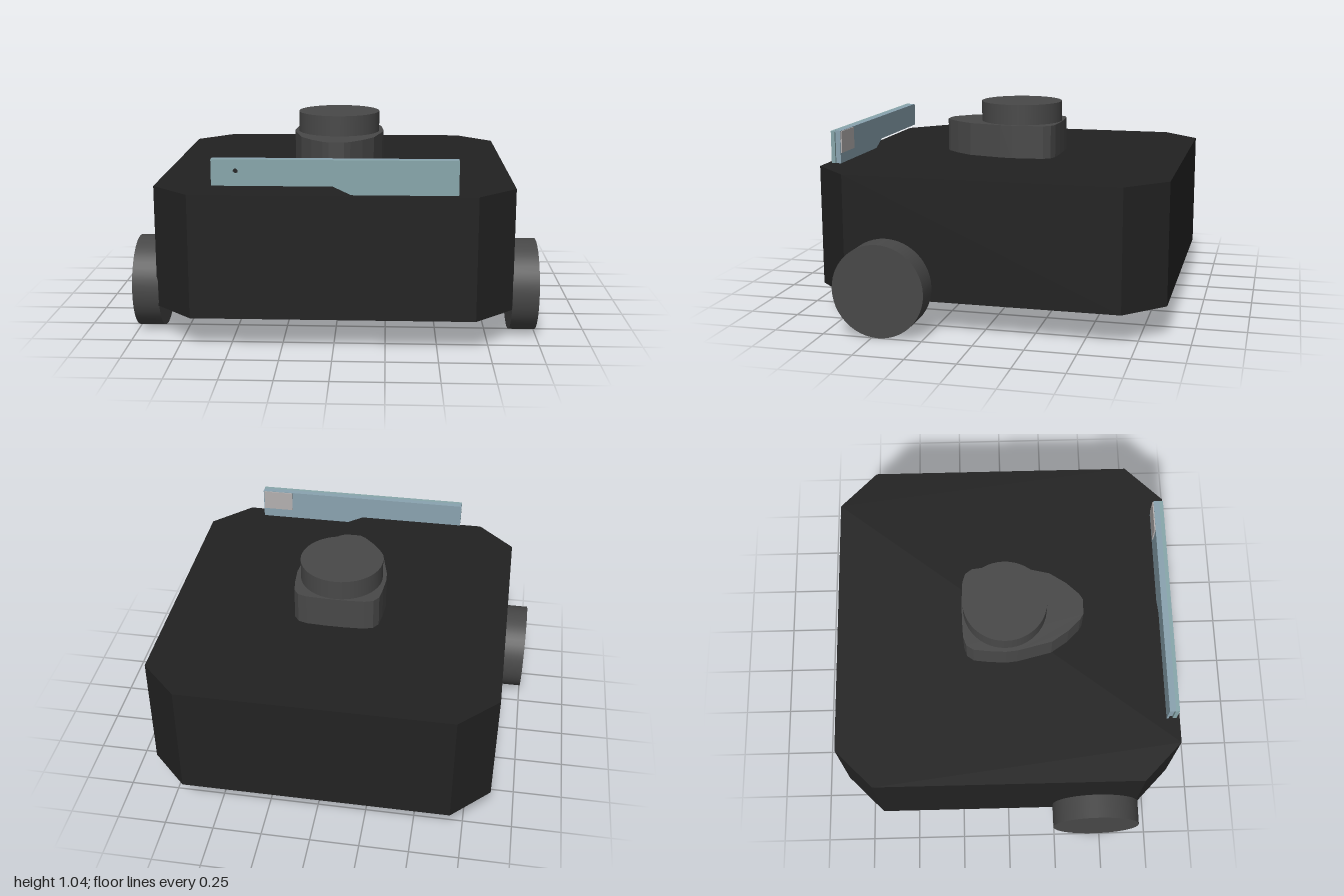
import * as THREE from 'three';

const mat = (color) => new THREE.MeshStandardMaterial({ color });
const black = mat(0x222222);
const darkGrey = mat(0x484848);
const steel = mat(0x8aa3b0);
const glass = mat(0x88a7ab);
const lightGrey = mat(0xb4b0b0);

function add(parent, name, geometry, material, x = 0, y = 0, z = 0) {
  const mesh = new THREE.Mesh(geometry, material);
  mesh.name = name;
  mesh.position.set(x, y, z);
  parent.add(mesh);
  return mesh;
}

const shapeOf = (points) => new THREE.Shape(points.map(([x, y]) => new THREE.Vector2(x, y)));
const extrude = (shape, depth) =>
  new THREE.ExtrudeGeometry(shape, { depth, bevelEnabled: false, curveSegments: 8 });

// Plan outline in (x, z), raised along y
function extrudeUp(points, height) {
  const flipped = points.map(([x, z]) => [x, -z]);
  return extrude(shapeOf(flipped), height).rotateX(-Math.PI / 2);
}

// Phone-like plate outline in (x, y): deep at the left, shallow past the slope
const plateOutline = (inset) => shapeOf([
  [-0.57 + inset, 0.805], [0, 0.805], [0.085, 0.765],
  [0.587 - inset, 0.765], [0.587 - inset, 0.93], [-0.57 + inset, 0.93],
]);

export function createModel() {
  const model = new THREE.Group();
  model.name = 'wheeledRobotBase';

  // Box body with chamfered vertical corners
  const h = 0.875, c = 0.683;
  add(model, 'body', extrudeUp([
    [-c, -h], [c, -h], [h, -c], [h, c], [c, h], [-c, h], [-h, c], [-h, -c],
  ], 0.605), black, -0.003, 0.16, 0);

  // Drive wheels
  for (const [side, name] of [[1, 'leftWheel'], [-1, 'rightWheel']]) {
    const wheel = new THREE.CylinderGeometry(0.23, 0.23, 0.13, 48).rotateZ(Math.PI / 2);
    add(model, name, wheel, darkGrey, side * 0.935, 0.23, 0.467);
  }

  // Teardrop sensor housing, mirrored from half an outline
  const half = [
    [0.05, -0.22], [0.15, -0.215], [0.195, -0.2], [0.22, -0.165], [0.23, -0.09], [0.236, 0],
    [0.23, 0.06], [0.187, 0.235], [0.13, 0.32], [0.07, 0.382], [0.04, 0.4],
  ];
  const outline = [...half, ...half.map(([x, z]) => [-x, z]).reverse()];
  add(model, 'sensorBase', extrudeUp(outline, 0.17), darkGrey, -0.004, 0.765, 0);
  add(model, 'sensorTurret', new THREE.CylinderGeometry(0.214, 0.214, 0.11, 48),
    darkGrey, -0.005, 0.985, 0);

  // Layered camera plate with grooved ends and a lens hole
  const plate = new THREE.Group();
  plate.name = 'cameraPlate';
  model.add(plate);
  const front = plateOutline(0);
  front.holes.push(new THREE.Path().absarc(-0.455, 0.875, 0.012, 0, Math.PI * 2, true));
  add(plate, 'frontCover', extrude(front, 0.02), glass, 0, 0, 0.832);
  add(plate, 'plateCore', extrude(plateOutline(0.012), 0.022), steel, 0, 0, 0.811);
  add(plate, 'backCover', extrude(plateOutline(0), 0.01), steel, 0, 0, 0.802);
  add(plate, 'topStrip', new THREE.BoxGeometry(1.157, 0.006, 0.022), steel, 0.0085, 0.9265, 0.822);
  add(plate, 'lens', new THREE.CircleGeometry(0.012, 16), black, -0.455, 0.875, 0.835);
  add(plate, 'rearPanel', new THREE.BoxGeometry(0.165, 0.11, 0.008), lightGrey, 0.499, 0.873, 0.8);

  return model;
}
